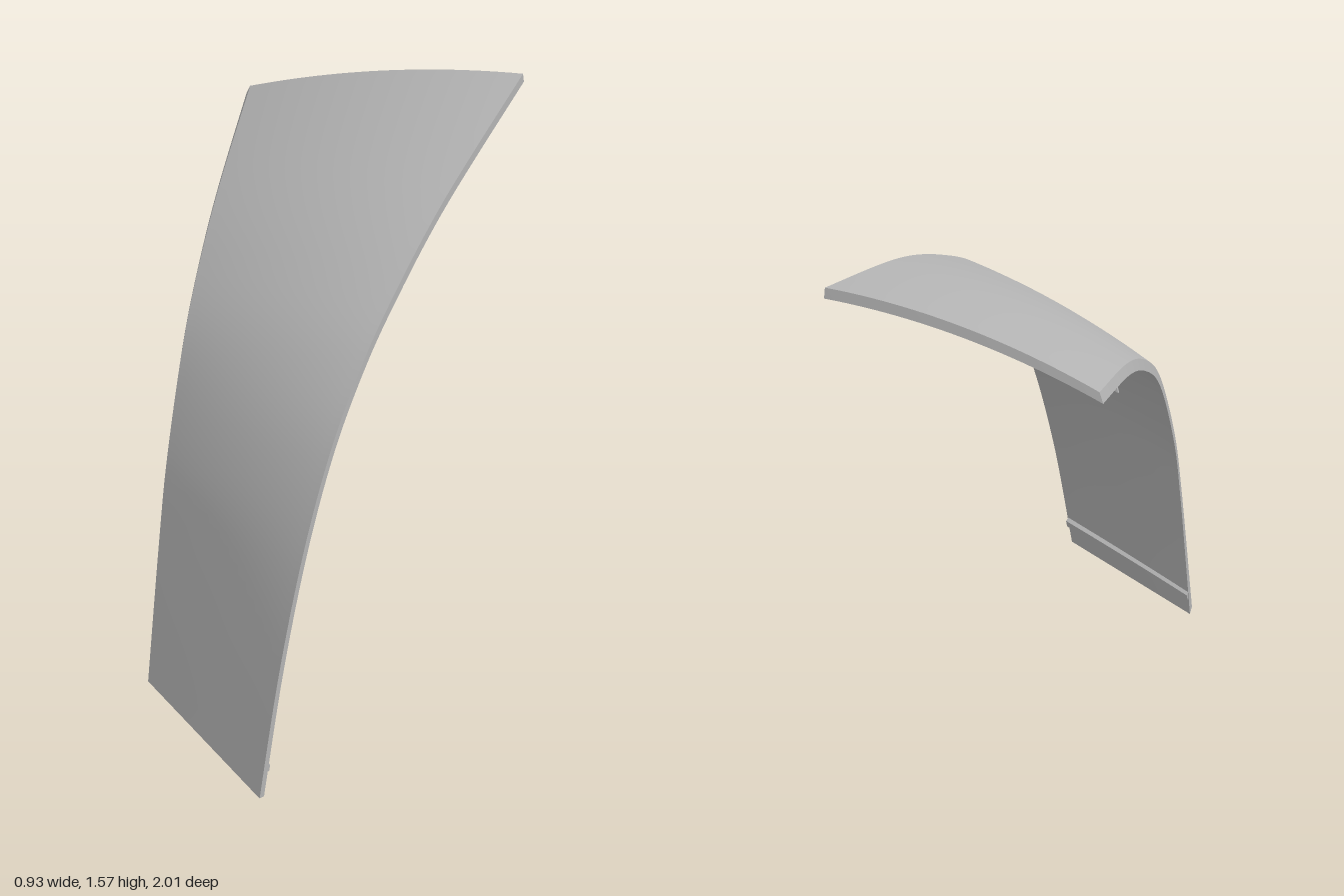
import * as THREE from 'three';
import { mergeGeometries } from 'three/addons/utils/BufferGeometryUtils.js';

const THICKNESS = 0.036;
const RIGHT_X = 0.465;
const lerp = THREE.MathUtils.lerp;

// Edge profiles as [z, y], running from the foot up to the back
const spline = (pts) => {
  const c = new THREE.SplineCurve(pts.map(([z, y]) => new THREE.Vector2(z, y)));
  c.arcLengthDivisions = 600;
  return c;
};
const outerEdge = spline([[1, 0.012], [0.855, 0.4], [0.675, 0.75], [0.47, 1.02],
  [0.245, 1.2], [0, 1.325], [-0.4, 1.46], [-1, 1.57]]);
const innerEdge = spline([[0.53, 0], [0.374, 0.46], [0.264, 0.7], [0.045, 0.97],
  [-0.19, 1.115], [-0.47, 1.21], [-0.9, 1.28]]);

// Point on an edge profile pushed along its outward normal
function edgePoint(curve, v, offset) {
  const p = curve.getPointAt(v), t = curve.getTangentAt(v);
  const n = new THREE.Vector2(t.y, -t.x);
  return { p: p.addScaledVector(n, offset), n };
}

// Shell space: u across, v from foot to back, h = 0 outer skin, h = -1 inner skin
function shellPoint(u, v, h) {
  const l = edgePoint(innerEdge, v, THICKNESS * (h + 1));
  const r = edgePoint(outerEdge, v, THICKNESS * h);
  const leftX = -0.135 - 0.2276 * (0.55 - l.p.x) + 0.014 * v * (h + 1);
  const bulge = 0.042 * v * 4 * u * (1 - u);
  return new THREE.Vector3(
    lerp(leftX, RIGHT_X, u),
    lerp(l.p.y, r.p.y, u) + bulge * lerp(l.n.y, r.n.y, u),
    lerp(l.p.x, r.p.x, u) + bulge * lerp(l.n.x, r.n.x, u));
}

// Smooth grid patch; a and b run over 0..1
function patch(fn, na, nb) {
  const pos = [], idx = [];
  for (let j = 0; j <= nb; j++)
    for (let i = 0; i <= na; i++) pos.push(...fn(i / na, j / nb).toArray());
  for (let j = 0; j < nb; j++)
    for (let i = 0; i < na; i++) {
      const a = j * (na + 1) + i, d = a + na + 1;
      idx.push(a, a + 1, d + 1, a, d + 1, d);
    }
  const g = new THREE.BufferGeometry();
  g.setAttribute('position', new THREE.Float32BufferAttribute(pos, 3));
  g.setIndex(idx);
  g.computeVertexNormals();
  return g;
}

// Closed six-sided solid from a right-handed map of the unit cube
function solid(map, nu, nv) {
  return mergeGeometries([
    patch((a, b) => map(a, b, 1), nu, nv),
    patch((a, b) => map(b, a, 0), nv, nu),
    patch((a, b) => map(1, a, b), nv, 1),
    patch((a, b) => map(0, b, a), 1, nv),
    patch((a, b) => map(b, 1, a), 1, nu),
    patch((a, b) => map(a, 0, b), nu, 1),
  ]);
}

export function createModel() {
  const group = new THREE.Group();
  group.name = 'curvedPanel';
  const grey = new THREE.MeshStandardMaterial({ color: 0xb3b3b3 });
  grey.name = 'grey';
  const add = (name, geometry) => {
    const mesh = new THREE.Mesh(geometry, grey);
    mesh.name = name;
    group.add(mesh);
  };

  // Curved shell
  add('shell', solid((u, v, h) => shellPoint(u, v, h - 1), 24, 64));

  // Rib along the foot, level across the inner skin
  add('footRib', solid((u, v, h) =>
    shellPoint(lerp(0.002, 0.995, u), lerp(0.035, 0.029, u) + 0.008 * v, lerp(-1.5, -0.9, h)), 12, 1));

  // Short rib near the back, from the side edge to mid-span
  add('backRib', solid((u, v, h) =>
    shellPoint(lerp(0.002, 0.52, u), 0.882 + 0.008 * v, lerp(-1.5, -0.9, h)), 16, 1));

  return group;
}
